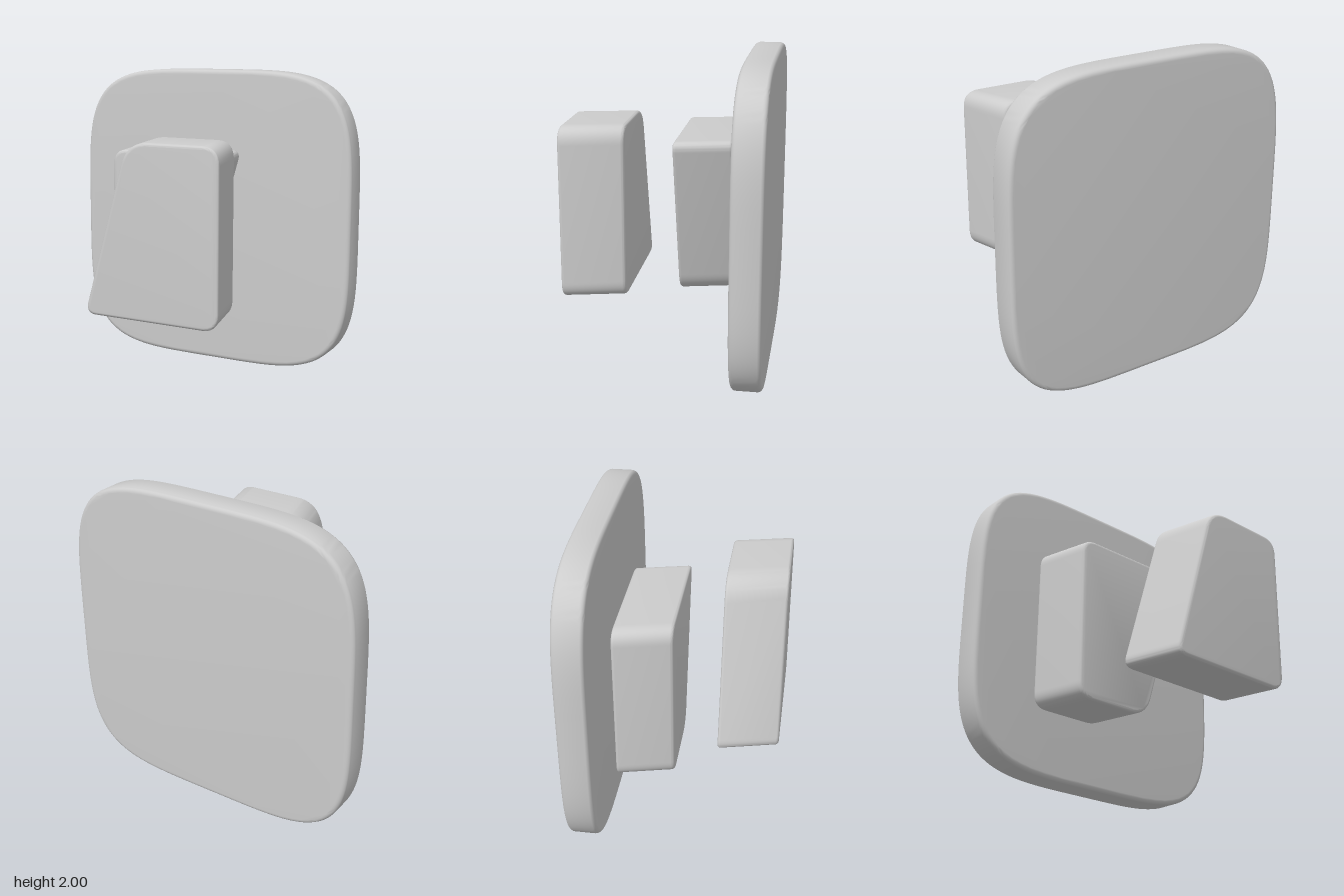
import * as THREE from 'three';
import { toCreasedNormals } from 'three/addons/utils/BufferGeometryUtils.js';

const SHEAR = 0.235; // sideways lean of the blocks per unit of depth

// Polygon with softened corners; each corner is [x, y, cut length]
function roundedPolygon(corners) {
  const shape = new THREE.Shape();
  const n = corners.length;
  corners.forEach(([x, y, cut], i) => {
    const p = new THREE.Vector2(x, y);
    const toward = ([qx, qy]) => new THREE.Vector2(qx, qy).sub(p).setLength(cut).add(p);
    const a = toward(corners[(i + n - 1) % n]);
    const b = toward(corners[(i + 1) % n]);
    if (i === 0) shape.moveTo(a.x, a.y);
    else shape.lineTo(a.x, a.y);
    shape.quadraticCurveTo(x, y, b.x, b.y);
  });
  shape.closePath();
  return shape;
}

// Squircle outline with half-size 1
function squircle(centreY, power, count) {
  const points = [];
  const bend = (v) => Math.sign(v) * Math.abs(v) ** (2 / power);
  for (let i = 0; i < count; i++) {
    const t = ((i + 0.5) / count) * Math.PI * 2;
    points.push(new THREE.Vector2(bend(Math.cos(t)), centreY + bend(Math.sin(t))));
  }
  return new THREE.Shape(points);
}

// Extrude an outline between two depths with a soft rim, then lean it sideways
function slab(name, shape, zBack, zFront, bevel, shear, material) {
  const geometry = new THREE.ExtrudeGeometry(shape, {
    depth: zFront - zBack - 2 * bevel,
    bevelEnabled: true,
    bevelThickness: bevel,
    bevelSize: bevel,
    bevelOffset: -bevel,
    bevelSegments: 5,
    curveSegments: 14,
  });
  geometry.translate(0, 0, zBack + bevel);
  const zMid = (zBack + zFront) / 2;
  const pos = geometry.attributes.position;
  for (let i = 0; i < pos.count; i++) {
    pos.setX(i, pos.getX(i) + shear * (pos.getZ(i) - zMid));
  }
  const mesh = new THREE.Mesh(toCreasedNormals(geometry, 0.7), material);
  mesh.name = name;
  return mesh;
}

export function createModel() {
  const group = new THREE.Group();
  group.name = 'layeredEmblem';
  const grey = new THREE.MeshStandardMaterial({ color: 0xcccccc });
  grey.name = 'lightGrey';

  // Backing plate
  group.add(slab('backPlate', squircle(1, 4.3, 128), -0.63, -0.44, 0.03, 0, grey));

  // Rear block: slanted on its left side
  const rear = roundedPolygon([
    [-0.555, 0.4, 0.1], [-0.01, 0.4, 0.14], [0.3, 1.48, 0.07], [-0.555, 1.48, 0.1],
  ]);
  group.add(slab('rearBlock', rear, -0.375, -0.015, 0.02, SHEAR, grey));

  // Front block: slanted on its right side
  const front = roundedPolygon([
    [-0.37, 0.53, 0.08], [0.552, 0.53, 0.11], [0.552, 1.61, 0.11], [-0.06, 1.61, 0.15],
  ]);
  group.add(slab('frontBlock', front, 0.245, 0.63, 0.02, SHEAR, grey));

  return group;
}
